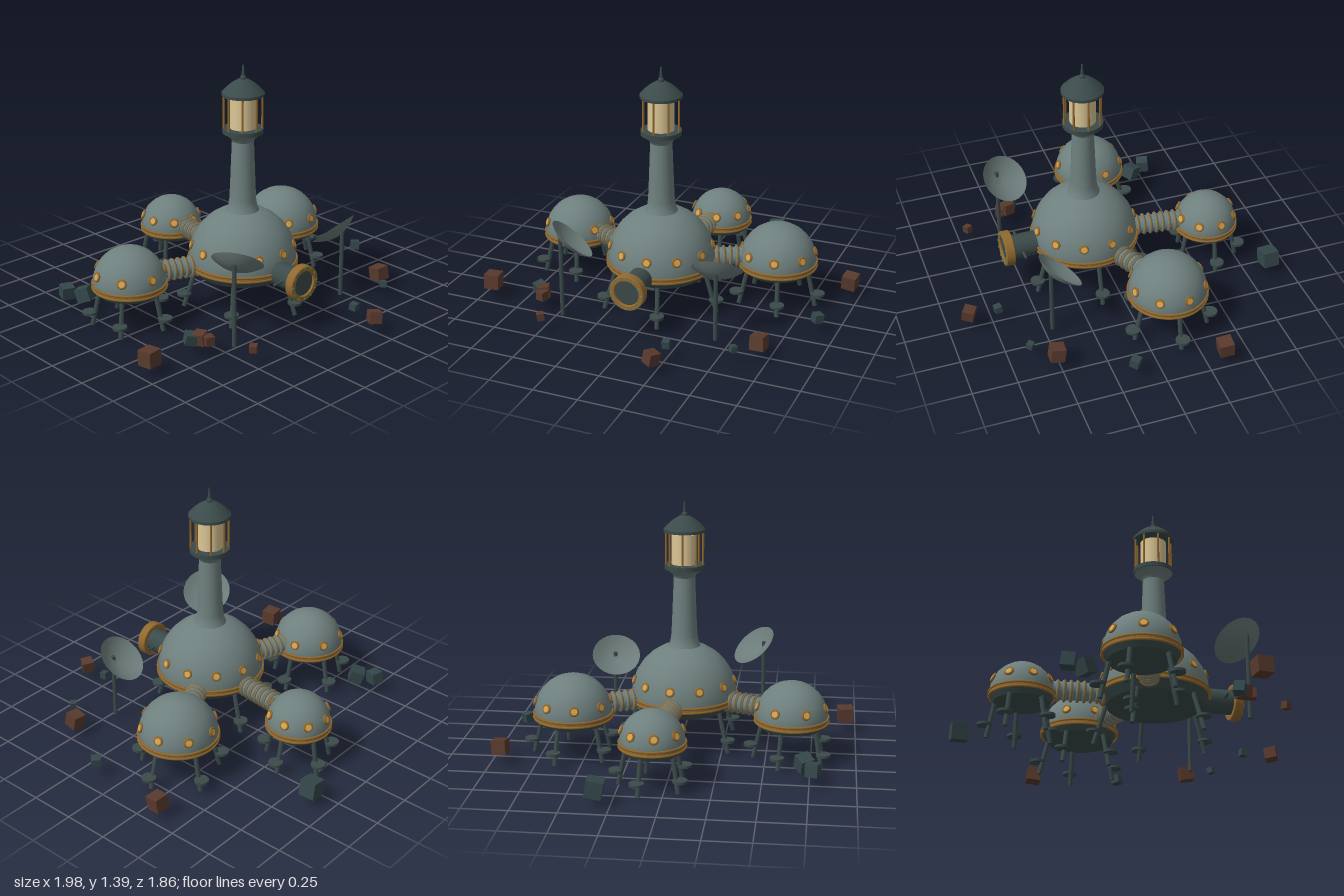
import * as THREE from 'three';

const mat = (name, color, side = THREE.FrontSide) => {
  const m = new THREE.MeshStandardMaterial({ color, side });
  m.name = name;
  return m;
};

export function createModel() {
  const hull = mat('hullGrey', 0x6e807e);
  const dishGrey = mat('dishGrey', 0x6c7c7a, THREE.DoubleSide);
  const dark = mat('darkSteel', 0x3b4a4a);
  const brass = mat('brass', 0x90692f);
  const amber = mat('amberGlass', 0xd6a350);
  const cream = mat('lampCream', 0xdcc796);
  const rust = mat('rust', 0x593a2d);
  const slate = mat('slate', 0x34474a);
  const patina = mat('patina', 0x4f8a74);

  const model = new THREE.Group();
  model.name = 'outpost';
  const UP = new THREE.Vector3(0, 1, 0);
  const V = (x, y, z) => new THREE.Vector3(x, y, z);

  const add = (parent, name, geo, material, x = 0, y = 0, z = 0) => {
    const m = new THREE.Mesh(geo, material);
    m.name = name;
    m.position.set(x, y, z);
    parent.add(m);
    return m;
  };
  const group = (name, x = 0, y = 0, z = 0) => {
    const g = new THREE.Group();
    g.name = name;
    g.position.set(x, y, z);
    model.add(g);
    return g;
  };
  const cyl = (rTop, rBottom, h, n = 24) => new THREE.CylinderGeometry(rTop, rBottom, h, n);
  // cylinder running from a to b
  const rod = (parent, name, a, b, r, material, n = 10) => {
    const m = add(parent, name, cyl(r, r, a.distanceTo(b), n), material);
    m.position.copy(a).lerp(b, 0.5);
    m.quaternion.setFromUnitVectors(UP, b.clone().sub(a).normalize());
    return m;
  };
  const lathe = (pts, n = 32) => new THREE.LatheGeometry(pts.map(p => new THREE.Vector2(...p)), n);

  // Domed module: dome, brass rim, skirt, portholes and five splayed legs
  const dome = (name, x, z, r, rim, skirt, ports, portStart, legTop, legFoot) => {
    const g = group(name, x, 0, z);
    const cy = rim + 0.012;
    add(g, 'dome', new THREE.SphereGeometry(r, 36, 7, 0, Math.PI * 2, 0, Math.PI / 2), hull, 0, cy, 0);
    add(g, 'rimBand', cyl(r * 1.015, r * 1.015, 0.022, 40), brass, 0, rim, 0);
    for (const dy of [-0.012, 0.012]) {
      const ring = add(g, 'rimBead', new THREE.TorusGeometry(r * 1.01, 0.007, 6, 40), brass, 0, rim + dy, 0);
      ring.rotation.x = Math.PI / 2;
    }
    add(g, 'skirt', cyl(r, r * 0.87, rim - skirt, 36), dark, 0, (rim + skirt) / 2, 0);
    const lift = Math.asin((r > 0.25 ? 0.09 : 0.065) / r);
    for (let i = 0; i < ports; i++) {
      const a = THREE.MathUtils.degToRad(portStart) + i * 2 * Math.PI / ports;
      const n = V(Math.sin(a) * Math.cos(lift), Math.sin(lift), Math.cos(a) * Math.cos(lift));
      const p = new THREE.Group();
      p.name = 'porthole';
      p.position.copy(n).multiplyScalar(r * 0.985).add(V(0, cy, 0));
      p.quaternion.setFromUnitVectors(V(0, 0, 1), n);
      g.add(p);
      add(p, 'portholeRing', new THREE.TorusGeometry(0.021, 0.007, 8, 18), brass, 0, 0, 0.006);
      add(p, 'portholeGlass', cyl(0.02, 0.02, 0.009, 18), amber, 0, 0, 0.007).rotation.x = Math.PI / 2;
    }
    for (let i = 0; i < 5; i++) {
      const a = i * 2 * Math.PI / 5, c = Math.cos(a), s = Math.sin(a);
      const foot = legFoot * r, top = legTop * r, pad = r * 1.07 + 0.008;
      rod(g, 'leg', V(c * top, skirt + 0.01, s * top), V(c * foot, 0.01, s * foot), 0.013, dark);
      add(g, 'footPad', cyl(0.04, 0.04, 0.014, 18), dark, c * pad, 0.085, s * pad);
    }
    return g;
  };
  const hub = V(-0.02, 0.285, 0.125);
  const main = dome('mainDome', hub.x, hub.z, 0.3, 0.282, 0.22, 11, 72, 0.88, 1.1);
  const modules = [
    ['rightModule', -0.64, -0.11, 0.2, 7, 0],
    ['leftModule', 0.57, -0.16, 0.216, 8, 12],
    ['rearModule', 0.07, -0.587, 0.175, 8, 10],
  ];

  // Satellite modules with ribbed corridors to the main dome
  for (const [name, x, z, r, ports, start] of modules) {
    dome(name, x, z, r, 0.245, 0.2, ports, start, 0.82, 1.04);
    const end = V(x, hub.y, z), dir = end.clone().sub(hub);
    const len = dir.length();
    dir.normalize();
    const from = 0.275, to = len - r + 0.02;
    const g = group(name + 'Corridor');
    const at = d => hub.clone().addScaledVector(dir, d);
    rod(g, 'corridorTube', at(from), at(to), 0.05, hull, 20);
    const ribs = Math.max(4, Math.round((to - from) / 0.035));
    for (let i = 0; i <= ribs; i++) {
      const d = from + (to - from) * i / ribs;
      const rib = add(g, 'corridorRib', new THREE.TorusGeometry(0.05, 0.011, 8, 22), hull);
      rib.position.copy(at(d));
      rib.quaternion.setFromUnitVectors(V(0, 0, 1), dir);
      const ring = add(g, 'corridorRing', new THREE.TorusGeometry(0.058, 0.005, 6, 22), brass);
      ring.position.copy(rib.position);
      ring.quaternion.copy(rib.quaternion);
    }
  }

  // Tower and lantern
  const tower = group('tower', hub.x, 0, hub.z);
  add(tower, 'towerShaft', lathe([[0.1, 0.56], [0.08, 0.6], [0.074, 0.64], [0.07, 0.72], [0.06, 0.98]]), hull);
  add(tower, 'galleryFlare', lathe([[0.06, 0.975], [0.07, 0.995], [0.108, 1.022]]), hull);
  add(tower, 'gallery', cyl(0.112, 0.112, 0.025, 32), dark, 0, 1.035, 0);
  add(tower, 'lamp', cyl(0.073, 0.073, 0.17, 24), cream, 0, 1.135, 0);
  for (let i = 0; i < 8; i++) {
    const a = i * Math.PI / 4, x = 0.104 * Math.sin(a), z = 0.104 * Math.cos(a);
    rod(tower, 'lanternBar', V(x, 1.04, z), V(x, 1.24, z), 0.006, brass, 8);
  }
  add(tower, 'eaves', cyl(0.116, 0.116, 0.016, 32), dark, 0, 1.24, 0);
  add(tower, 'roof', lathe([[0.116, 1.247], [0.09, 1.275], [0.06, 1.3], [0.03, 1.318], [0, 1.326]]), dark);
  add(tower, 'finialBase', new THREE.SphereGeometry(0.017, 12, 8), dark, 0, 1.327, 0);
  add(tower, 'finial', cyl(0.004, 0.012, 0.08, 10), dark, 0, 1.36, 0);

  // Docking port at the front
  const dock = group('dockingPort', hub.x, hub.y, 0);
  rod(dock, 'dockTube', V(0, 0, 0.36), V(0, 0, 0.575), 0.068, dark, 28);
  rod(dock, 'dockRod', V(-0.13, 0, 0.505), V(0.12, 0, 0.505), 0.008, dark);
  const collar = new THREE.Shape().absarc(0, 0, 0.096, 0, Math.PI * 2);
  collar.holes.push(new THREE.Path().absarc(0, 0, 0.074, 0, Math.PI * 2, true));
  add(dock, 'dockCollar', new THREE.ExtrudeGeometry(collar,
    { depth: 0.044, bevelEnabled: true, bevelSize: 0.004, bevelThickness: 0.004, bevelSegments: 1, curveSegments: 24 }),
  brass, 0, 0, 0.56);
  rod(dock, 'dockHatch', V(0, 0, 0.57), V(0, 0, 0.595), 0.075, dark, 28);
  for (let i = 0; i < 12; i++) {
    const a = i * Math.PI / 6, x = 0.088 * Math.cos(a), y = 0.088 * Math.sin(a);
    rod(dock, 'dockBolt', V(x, y, 0.6), V(x, y, 0.612), 0.006, patina, 8);
  }

  // Dish antennas: rim centre, facing direction, post foot and post top
  const dishes = [
    ['rightDish', V(-0.395, 0.485, 0.48), V(0.57, 0.75, -0.34), V(-0.45, 0.03, 0.515), 0.5],
    ['leftDish', V(0.416, 0.42, 0.405), V(-0.14, 0.76, -0.64), V(0.43, 0.03, 0.46), 0.42],
  ];
  for (const [name, centre, facing, foot, top] of dishes) {
    const g = group(name);
    const bowl = add(g, 'dishBowl', lathe([[0, -0.05], [0.04, -0.046], [0.08, -0.033], [0.115, -0.014], [0.14, 0.003]]), dishGrey);
    bowl.position.copy(centre);
    bowl.quaternion.setFromUnitVectors(UP, facing.normalize());
    rod(g, 'dishPost', foot, V(foot.x, top, foot.z), 0.012, dark);
  }

  // Scattered crates: x, z, size, material
  const crates = [
    [0.33, -0.88, 0.092, slate], [-0.77, -0.51, 0.07, slate], [-0.72, -0.415, 0.078, slate],
    [0.945, -0.35, 0.08, rust], [0.9, 0.145, 0.05, slate], [-0.94, 0.41, 0.085, rust],
    [-0.65, 0.395, 0.06, slate], [-0.61, 0.425, 0.065, rust], [-0.595, 0.475, 0.05, rust],
    [-0.49, 0.7, 0.04, rust], [0.695, 0.515, 0.078, rust], [0.595, 0.635, 0.035, slate],
    [0.255, 0.72, 0.04, slate], [0.24, 0.88, 0.066, rust],
  ];
  crates.forEach(([x, z, s, m], i) => {
    const c = add(model, 'crate', new THREE.BoxGeometry(s, s, s), m, x, 0.103, z);
    c.rotation.set(0.18 * Math.sin(i * 2.3), i === 0 ? 0.05 : 0.35 + i * 0.9, 0.18 * Math.cos(i * 1.7));
  });

  return model;
}
